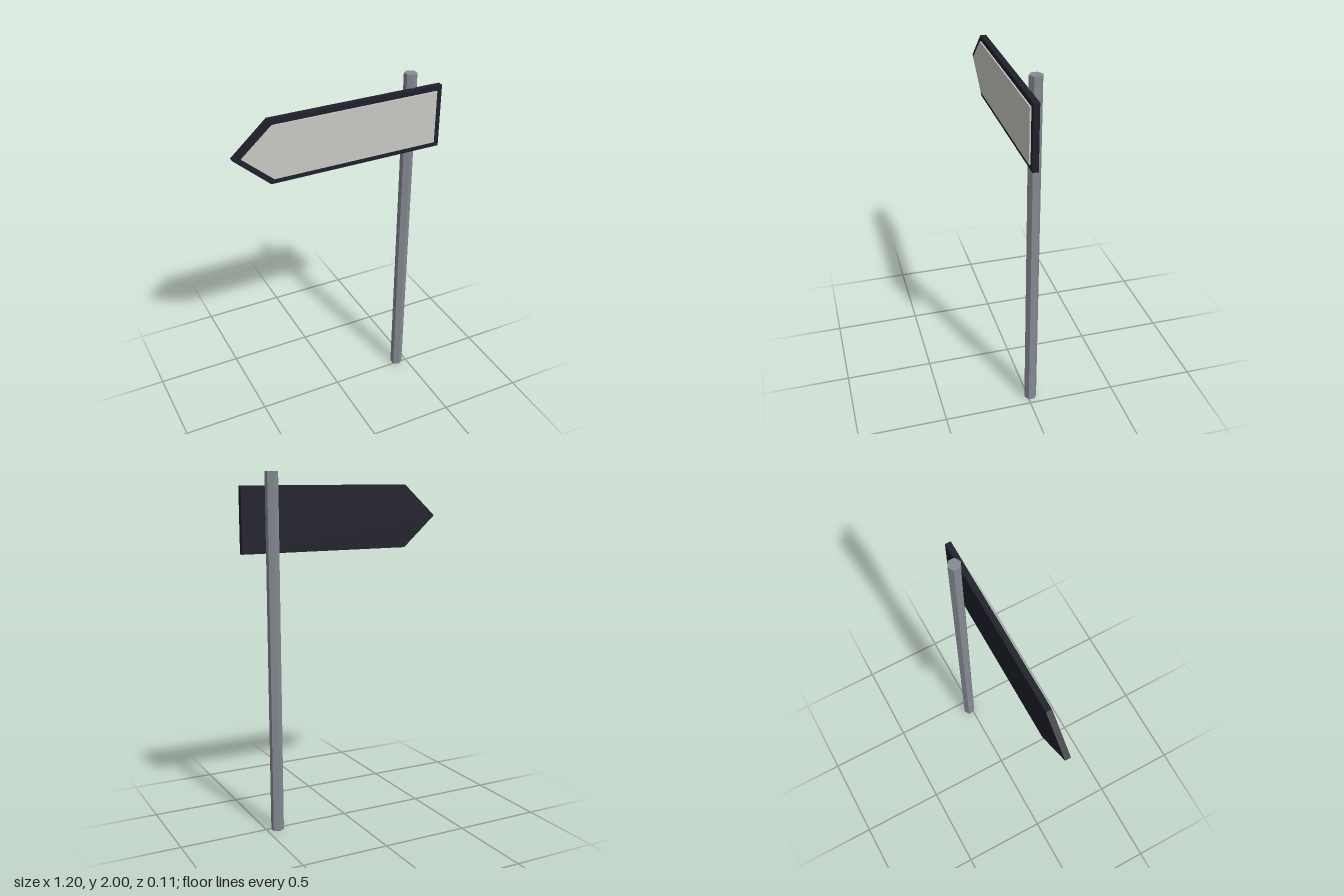
import * as THREE from 'three';

const postGrey = new THREE.MeshStandardMaterial({ name: 'postGrey', color: 0x868a92, flatShading: true });
const frameDark = new THREE.MeshStandardMaterial({ name: 'frameDark', color: 0x20202b });
const panelPale = new THREE.MeshStandardMaterial({ name: 'panelPale', color: 0xc8c8c3 });

// Board pointing to -x: tip, shoulder and square end, extruded from z by depth
function arrowBoard(name, tip, shoulder, end, halfHeight, z, depth, material) {
  const shape = new THREE.Shape([
    [tip, 0], [shoulder, -halfHeight], [end, -halfHeight], [end, halfHeight], [shoulder, halfHeight],
  ].map(([x, y]) => new THREE.Vector2(x, y)));
  const mesh = new THREE.Mesh(new THREE.ExtrudeGeometry(shape, { depth, bevelEnabled: false }), material);
  mesh.name = name;
  mesh.position.set(0, 1.747, z);
  return mesh;
}

export function createModel() {
  const model = new THREE.Group();
  model.name = 'arrowSignpost';

  // Hexagonal post with a corner facing the board
  const post = new THREE.Mesh(new THREE.CylinderGeometry(0.036, 0.036, 2, 6), postGrey);
  post.name = 'post';
  post.position.set(0.438, 1, -0.017);
  model.add(post);

  // Dark backing board and the pale panel raised on its front
  model.add(arrowBoard('backingBoard', -0.6, -0.4, 0.6, 0.179, 0.012, 0.032, frameDark));
  model.add(arrowBoard('facePanel', -0.555, -0.384, 0.568, 0.15, 0.044, 0.008, panelPale));
  return model;
}
